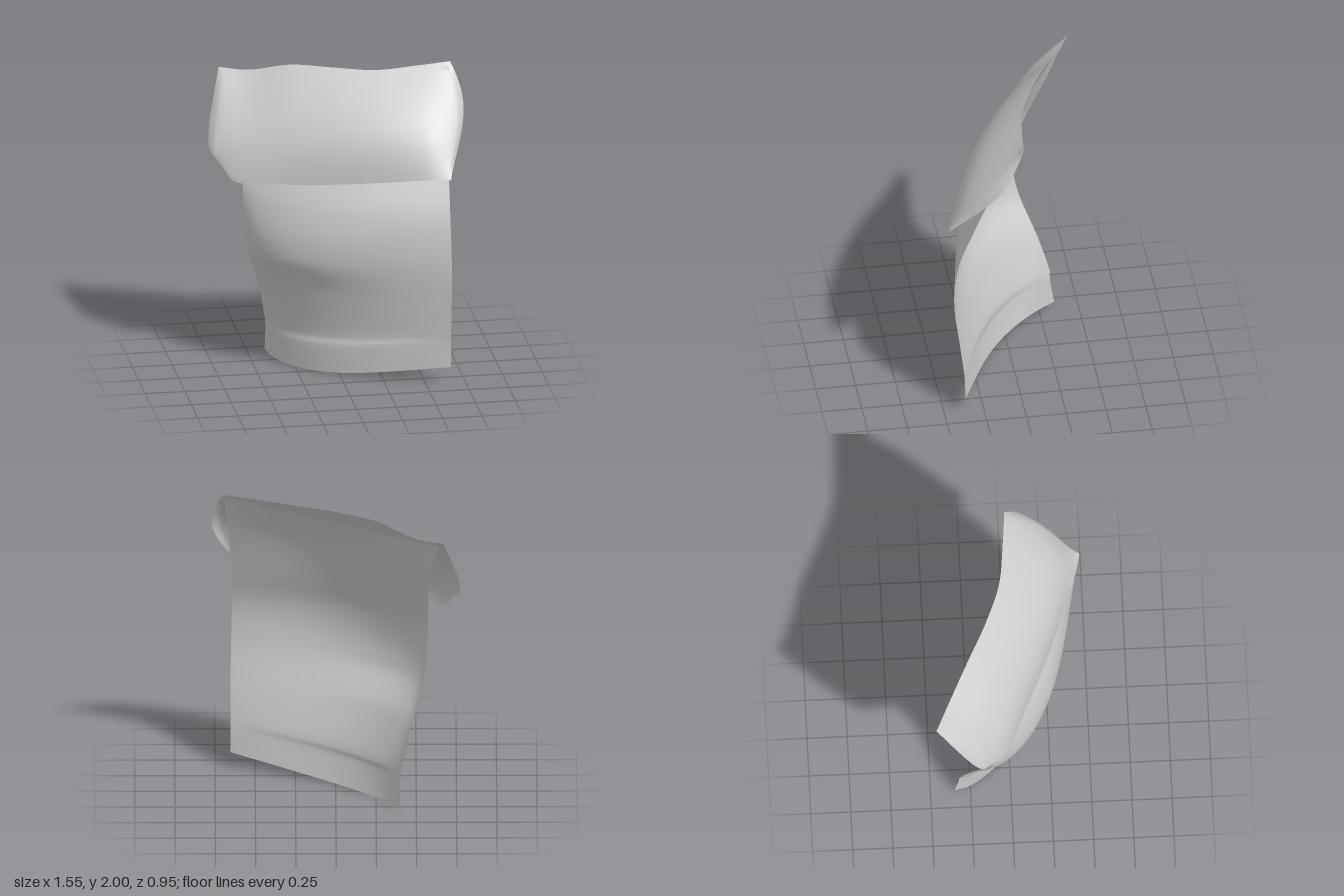
import * as THREE from 'three';

const cloth = new THREE.MeshStandardMaterial({ color: 0xcccccc });
cloth.name = 'light grey cloth';
cloth.side = THREE.DoubleSide;

const spline = points => new THREE.CatmullRomCurve3(points.map(p => new THREE.Vector3(...p)));

// Side edges of the panel, bottom to top
const panelRight = spline([
  [-.4, .04, -.35], [-.4, .2, -.325], [-.405, .26, -.32], [-.455, .5, -.25], [-.55, .83, -.13],
  [-.572, 1.1, -.105], [-.575, 1.35, -.19], [-.59, 1.63, -.33], [-.64, 1.83, -.43],
]);
const panelLeft = spline([
  [.655, .11, .37], [.655, .27, .375], [.655, .32, .38], [.655, .52, .405], [.65, .83, .44],
  [.645, 1.1, .42], [.65, 1.35, .33], [.66, 1.65, .2], [.7, 1.98, .03],
]);
// Forward bulge, skew of the bulge and sag at the same heights; a small step marks the bottom hem
const panelArch = spline([
  [.175, .57, -.055], [.183, .57, -.03], [.172, .57, -.03], [.175, .6, 0], [.175, .6, 0],
  [.14, .75, 0], [.125, .85, 0], [.12, 1.05, 0], [.115, 1.2, -.05],
]);

// Lower and upper edges of the flap, from -x to +x
const flapLower = spline([
  [-.72, 1.365, -.16], [-.65, 1.265, -.06], [-.33, 1.275, .1], [0, 1.31, .25],
  [.28, 1.345, .36], [.5, 1.375, .44], [.64, 1.38, .475],
]);
const flapUpper = spline([
  [-.67, 1.87, -.475], [-.5, 1.87, -.395], [-.25, 1.935, -.265], [0, 1.945, -.14],
  [.25, 1.948, -.045], [.5, 1.975, -.01], [.71, 2, .01],
]);

// Panel: arched between its two side edges
function panelPoint(u, v) {
  const p = panelRight.getPoint(v).lerp(panelLeft.getPoint(v), u);
  const arch = panelArch.getPoint(v);
  const bend = Math.sin(Math.PI * u ** arch.y);
  p.z += arch.x * bend;
  p.y += arch.z * bend;
  return p;
}

// Flap: hung between its two edges, with a full belly and ends bowed outwards
function flapPoint(u, v) {
  const p = flapLower.getPoint(u).lerp(flapUpper.getPoint(u), v);
  const belly = .115 * Math.max(0, Math.sin(Math.PI * u)) ** .3 - .05 * u ** 10;
  p.z += belly * Math.sin(Math.PI * v);
  p.x += .09 * u ** 10 * Math.sin(Math.PI * v ** 1.2);
  p.x -= .065 * (1 - u) ** 10 * Math.sin(Math.PI * v ** .5);
  return p;
}

// Mesh over the patch u0..u1, v0..v1 of a surface, shifted by dz
function sheet(name, point, [u0, u1], [v0, v1], nu, nv, dz = 0) {
  const positions = [], index = [];
  for (let j = 0; j <= nv; j++) {
    for (let i = 0; i <= nu; i++) {
      const p = point(u0 + (u1 - u0) * i / nu, v0 + (v1 - v0) * j / nv);
      positions.push(p.x, p.y, p.z + dz);
      if (i < nu && j < nv) {
        const a = j * (nu + 1) + i, b = a + nu + 1;
        index.push(a, a + 1, b, a + 1, b + 1, b);
      }
    }
  }
  const geometry = new THREE.BufferGeometry();
  geometry.setAttribute('position', new THREE.Float32BufferAttribute(positions, 3));
  geometry.setIndex(index);
  geometry.computeVertexNormals();
  const mesh = new THREE.Mesh(geometry, cloth);
  mesh.name = name;
  return mesh;
}

export function createModel() {
  const group = new THREE.Group();
  group.name = 'clothPanel';
  group.add(sheet('panel', panelPoint, [0, 1], [0, 1], 48, 64));
  group.add(sheet('flap', flapPoint, [0, 1], [0, 1], 64, 32));
  // Narrow folded hems along the inside of both side edges
  group.add(sheet('rightSideHem', panelPoint, [0, .06], [.25, .97], 6, 48, -.006));
  group.add(sheet('leftSideHem', panelPoint, [.95, 1], [.25, .97], 4, 48, -.006));
  return group;
}
